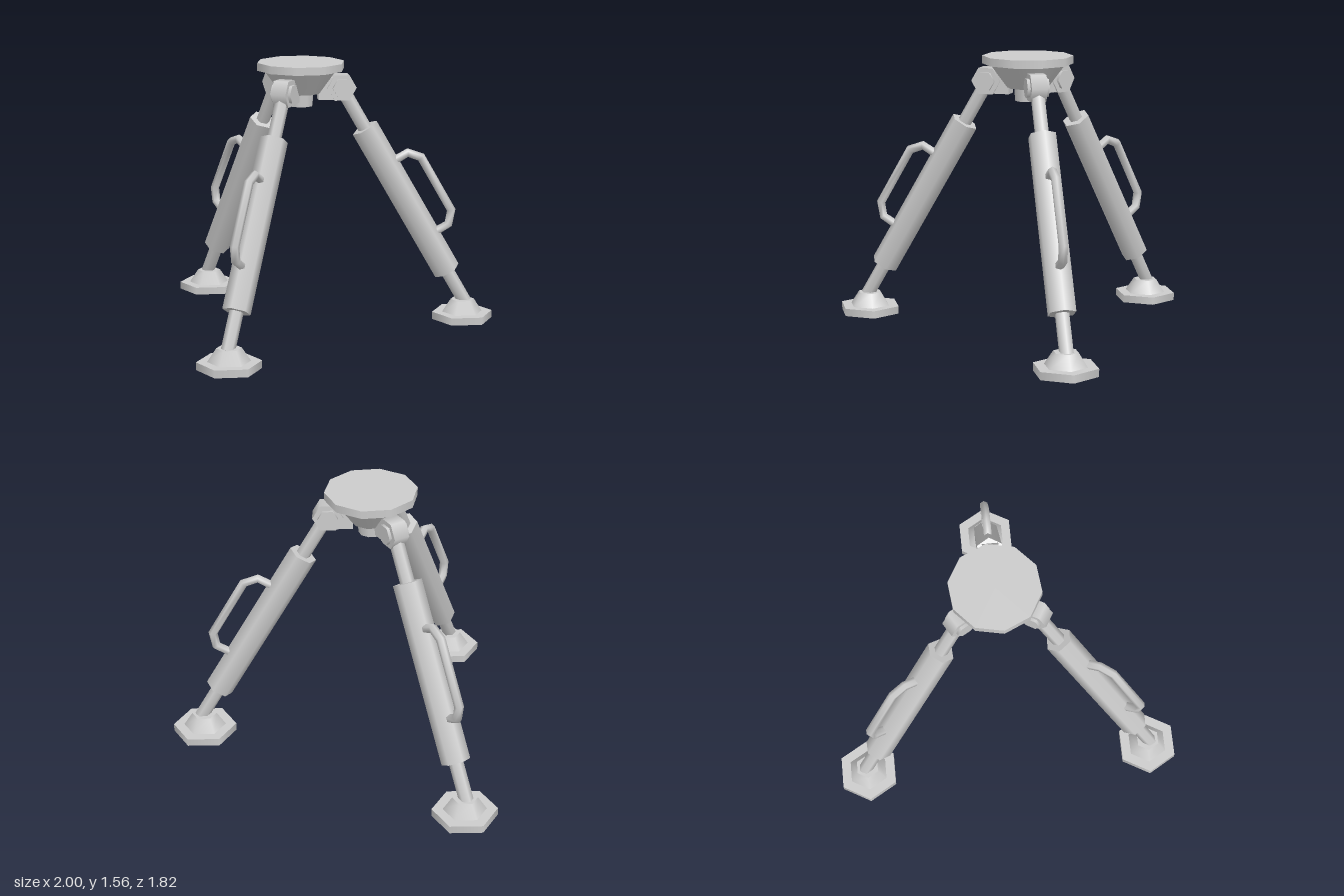
import * as THREE from 'three';

const material = new THREE.MeshStandardMaterial({ color: 0xcccccc });

function add(parent, name, geometry, x = 0, y = 0, z = 0) {
  const mesh = new THREE.Mesh(geometry, material);
  mesh.name = name;
  mesh.position.set(x, y, z);
  parent.add(mesh);
  return mesh;
}

// Prism or tapered prism standing between two heights
function prism(parent, name, rTop, rBottom, y0, y1, sides = 6, start = 0) {
  const g = new THREE.CylinderGeometry(rTop, rBottom, y1 - y0, sides, 1, false, start);
  return add(parent, name, g, 0, (y0 + y1) / 2, 0);
}

// Straight-sided path with mitred corners
class Polyline extends THREE.Curve {
  constructor(points) {
    super();
    this.points = points;
  }
  getUtoTmapping(u) {
    return u;
  }
  getPoint(t, target = new THREE.Vector3()) {
    const n = this.points.length - 1;
    const i = Math.min(Math.floor(t * n + 1e-6), n - 1);
    return target.lerpVectors(this.points[i], this.points[i + 1], t * n - i);
  }
  getTangent(t, target = new THREE.Vector3()) {
    const p = this.points, n = p.length - 1, i = Math.round(t * n);
    target.set(0, 0, 0);
    if (i > 0) target.add(p[i].clone().sub(p[i - 1]).normalize());
    if (i < n) target.add(p[i + 1].clone().sub(p[i]).normalize());
    return target.normalize();
  }
}

// One leg reaching out along +z from the central axis
function createLeg() {
  const leg = new THREE.Group();
  leg.name = 'leg';

  // Hinge: bracket, hexagonal knuckle and its bolt
  add(leg, 'hingeBracket', new THREE.BoxGeometry(0.075, 0.13, 0.13), 0, 1.405, 0.165);
  const knuckle = add(leg, 'hingeKnuckle', new THREE.CylinderGeometry(0.085, 0.085, 0.09, 6), 0, 1.41, 0.235);
  const bolt = add(leg, 'hingeBolt', new THREE.CylinderGeometry(0.056, 0.056, 0.124, 6), 0, 1.41, 0.235);
  knuckle.rotation.z = bolt.rotation.z = Math.PI / 2;

  // Sloping strut, hung from the hinge
  const strut = new THREE.Group();
  strut.name = 'strut';
  strut.position.set(0, 1.41, 0.235);
  strut.rotation.x = -Math.PI / 6;
  leg.add(strut);
  prism(strut, 'innerRod', 0.04, 0.04, -1.51, 0);
  prism(strut, 'outerSleeve', 0.08, 0.08, -1.284, -0.28);

  // Carrying handle on the outer side
  const path = [[0.54, 0.05], [0.54, 0.145], [0.605, 0.2], [0.975, 0.2], [1.04, 0.145], [1.04, 0.05]]
    .map(([s, p]) => new THREE.Vector3(0, -s, p));
  add(strut, 'handle', new THREE.TubeGeometry(new Polyline(path), path.length - 1, 0.026, 6));

  // Foot
  const foot = new THREE.Group();
  foot.name = 'foot';
  foot.position.z = 0.973;
  leg.add(foot);
  prism(foot, 'footPad', 0.181, 0.181, 0, 0.044);
  prism(foot, 'footCone', 0.07, 0.12, 0.044, 0.12);
  return leg;
}

export function createModel() {
  const model = new THREE.Group();
  model.name = 'tripod';
  const body = new THREE.Group();
  body.name = 'tripodBody';
  body.position.z = -0.243;
  model.add(body);

  // Head: plate, tapered hub and lower boss
  const turn = Math.PI / 2;
  prism(body, 'topPlate', 0.255, 0.255, 1.515, 1.56, 10, turn);
  prism(body, 'taperedHub', 0.215, 0.115, 1.38, 1.515, 10, turn);
  prism(body, 'lowerBoss', 0.075, 0.07, 1.305, 1.38, 10, turn);

  // Three legs around the axis
  for (let i = 0; i < 3; i++) {
    const leg = createLeg();
    leg.rotation.y = (i * Math.PI * 2) / 3;
    body.add(leg);
  }
  return model;
}
